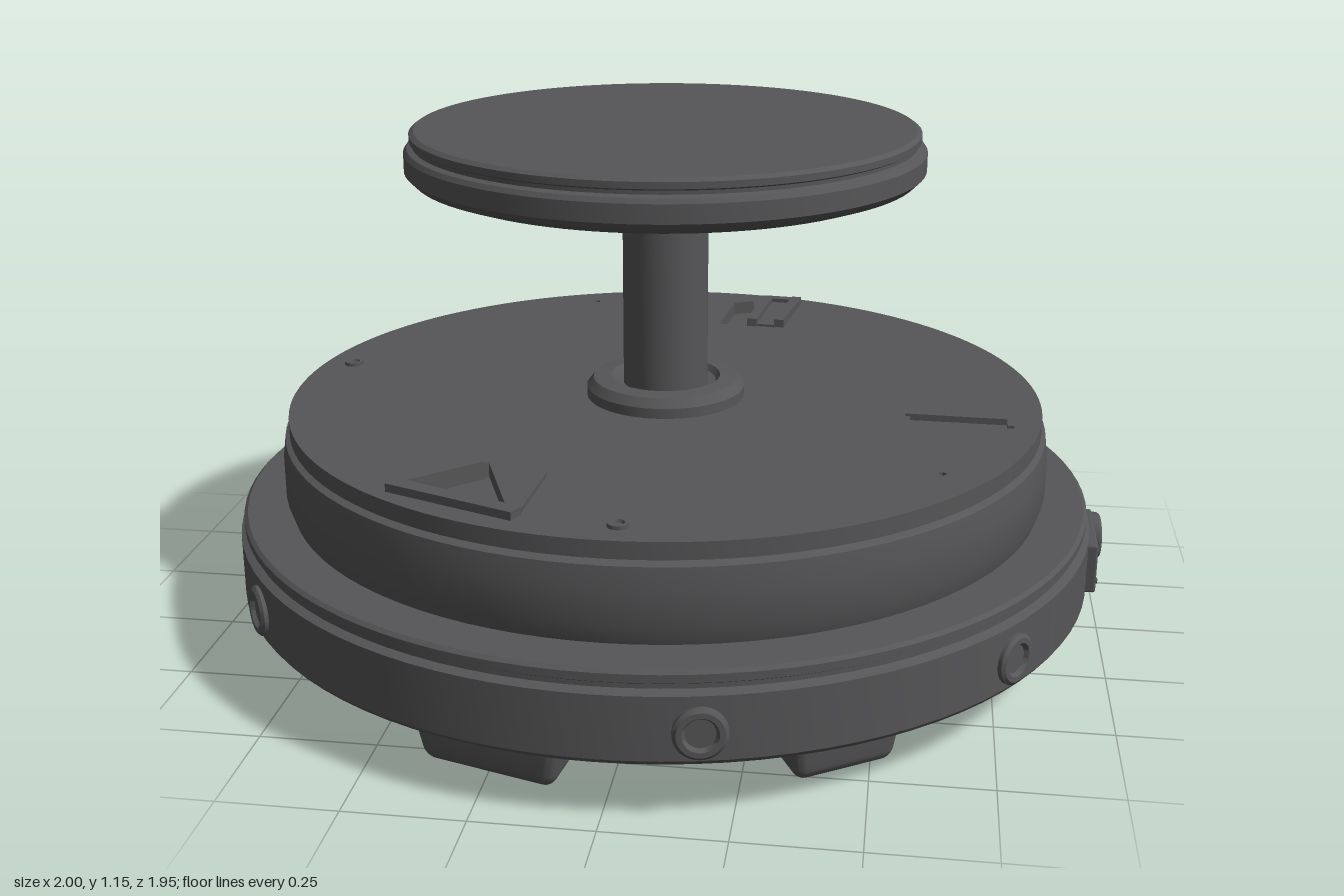
import * as THREE from 'three';
import { toCreasedNormals } from 'three/addons/utils/BufferGeometryUtils.js';
import { RoundedBoxGeometry } from 'three/addons/geometries/RoundedBoxGeometry.js';

const grey = new THREE.MeshStandardMaterial({ color: 0x565658 });
grey.name = 'darkGrey';

export function createModel() {
  const model = new THREE.Group();
  model.name = 'turntableStand';
  const body = new THREE.Group();
  body.name = 'body';
  body.position.set(-0.01, 0, 0.005);
  model.add(body);

  function add(name, geometry, parent = body) {
    const mesh = new THREE.Mesh(geometry, grey);
    mesh.name = name;
    parent.add(mesh);
    return mesh;
  }
  // Turned part from [radius, height] pairs, bottom to top
  function turned(name, profile, segments = 96, parent = body) {
    const points = profile.map(([r, y]) => new THREE.Vector2(r, y));
    return add(name, toCreasedNormals(new THREE.LatheGeometry(points, segments), 0.5), parent);
  }

  // Base disc with a grooved lip
  turned('base', [[0, 0.13], [0.965, 0.13], [0.972, 0.14], [0.972, 0.275], [0.955, 0.283],
    [0.955, 0.293], [0.963, 0.298], [0.963, 0.315], [0.955, 0.322], [0, 0.322]]);

  // Drum, bulging slightly, with a groove under its deck
  turned('drum', [[0, 0.32], [0.855, 0.32], [0.868, 0.36], [0.868, 0.44], [0.862, 0.485],
    [0.845, 0.492], [0.845, 0.5], [0, 0.5]]);

  // Deck plate with cut-outs
  const deck = new THREE.Shape().absarc(0, 0, 0.852, 0, Math.PI * 2, false);
  const cut = (points) => deck.holes.push(new THREE.Path(points.map(([x, z]) => new THREE.Vector2(x, -z))));
  cut([[-0.30, 0.49], [-0.46, 0.64], [-0.21, 0.72]]);
  cut([[0.08, -0.76], [0.13, -0.78], [0.15, -0.56], [0.06, -0.56]]);
  cut([[0.56, 0.085], [0.77, 0.09], [0.77, 0.115], [0.56, 0.11]]);
  for (const [x, z, r] of [[-0.29, -0.72, 0.008], [0.63, 0.425, 0.008]]) {
    deck.holes.push(new THREE.Path().absarc(x, -z, r, 0, Math.PI * 2, true));
  }
  const deckGeometry = new THREE.ExtrudeGeometry(deck, { depth: 0.037, bevelEnabled: false, curveSegments: 64 });
  deckGeometry.rotateX(-Math.PI / 2);
  add('deck', toCreasedNormals(deckGeometry, 0.5)).position.y = 0.495;

  // Straight raised bars on the deck, between two plan points
  function bar(name, x1, z1, x2, z2, width, top) {
    const length = Math.hypot(x2 - x1, z2 - z1);
    const mesh = add(name, new THREE.BoxGeometry(length, top - 0.5, width));
    mesh.position.set((x1 + x2) / 2, (top + 0.5) / 2, (z1 + z2) / 2);
    mesh.rotation.y = -Math.atan2(z2 - z1, x2 - x1);
  }
  bar('triangleFrontBar', -0.46, 0.66, -0.18, 0.77, 0.035, 0.55);
  bar('triangleSideBar', -0.18, 0.55, -0.19, 0.74, 0.03, 0.542);
  bar('triangleEdge', -0.31, 0.5, -0.46, 0.64, 0.015, 0.54);
  bar('innerRail', 0.17, -0.77, 0.145, -0.55, 0.025, 0.552);
  bar('outerRail', 0.245, -0.77, 0.215, -0.55, 0.025, 0.552);
  bar('railFloor', 0.207, -0.76, 0.18, -0.55, 0.05, 0.538);
  bar('railEnd', 0.16, -0.775, 0.25, -0.765, 0.025, 0.548);
  bar('slotEdge', 0.55, 0.08, 0.78, 0.088, 0.01, 0.538);
  bar('slotEnd', 0.78, 0.085, 0.778, 0.135, 0.015, 0.538);

  // Small locating pins
  for (const [x, z] of [[-0.775, -0.105], [0.02, 0.78]]) {
    turned('pin', [[0.022, 0.53], [0.022, 0.54], [0.014, 0.54], [0.012, 0.533], [0, 0.533]], 20)
      .position.set(x, 0, z);
  }

  // Pedestal and table
  turned('postFlange', [[0.18, 0.525], [0.18, 0.555], [0.165, 0.575], [0.125, 0.578], [0.115, 0.565], [0.09, 0.56]], 64);
  turned('post', [[0.096, 0.53], [0.096, 0.99]], 48);
  turned('collar', [[0, 0.97], [0.155, 0.97], [0.168, 0.98], [0.18, 1.01], [0.2, 1.02], [0.2, 1.045]], 64);
  turned('tableTop', [[0, 1.03], [0.46, 1.03], [0.515, 1.036], [0.555, 1.05], [0.573, 1.068], [0.573, 1.108],
    [0.566, 1.118], [0.553, 1.122], [0.553, 1.13], [0.56, 1.134], [0.56, 1.148], [0.55, 1.155], [0, 1.155]]);

  // Tapered feet: x, z, tangential width
  const feet = [[0.71, 0.06, 0.25], [0.41, 0.64, 0.25], [-0.22, 0.74, 0.33],
    [-0.71, -0.06, 0.25], [-0.37, -0.65, 0.25], [0.22, -0.74, 0.33]];
  for (const [x, z, width] of feet) {
    const geometry = new RoundedBoxGeometry(width, 0.18, 0.22, 4, 0.03);
    const p = geometry.attributes.position;
    for (let i = 0; i < p.count; i++) {
      const drop = Math.max(0, 0.06 - p.getY(i)) / 0.15;
      const narrow = 1 - 0.1 * p.getZ(i) / -0.11;
      p.setX(i, p.getX(i) * (1 - 0.18 * drop) * narrow);
      p.setZ(i, p.getZ(i) * (1 - 0.14 * drop));
    }
    geometry.computeVertexNormals();
    const foot = add('foot', toCreasedNormals(geometry, 0.7));
    foot.position.set(x + 0.005, 0.09, z);
    foot.rotation.y = Math.atan2(x, z);
  }

  // Round sockets on the rim: x, z, how far out they reach
  const sockets = [[0.78, 0.565, 0.985], [0.78, -0.565, 0.985], [-0.78, 0.565, 0.985], [-0.78, -0.565, 0.985],
    [0.2, 0.95, 0.985], [-0.2, -0.95, 0.99], [-0.97, 0.06, 0.99], [0.97, -0.08, 1.01]];
  for (const [x, z, reach] of sockets) {
    const holder = new THREE.Group();
    holder.name = 'rimSocket';
    holder.position.y = 0.2;
    holder.rotation.y = Math.atan2(x, z);
    body.add(holder);
    const solid = reach > 1;
    const face = solid ? [[0.05, reach], [0, reach]]
      : [[0.047, reach], [0.036, reach], [0.03, reach - 0.009], [0, reach - 0.009]];
    turned('socket', [[0.054, 0.93], [0.054, reach - 0.006], ...face], 32, holder).rotation.x = Math.PI / 2;
  }

  // Side housing behind the right-hand knob
  add('sideHousing', new RoundedBoxGeometry(0.08, 0.115, 0.22, 2, 0.006)).position.set(0.948, 0.2, 0.005);
  for (const y of [0.165, 0.235]) {
    const screw = add('housingScrew', new THREE.CylinderGeometry(0.007, 0.007, 0.008, 12));
    screw.rotation.z = Math.PI / 2;
    screw.position.set(0.988, y, 0.095);
  }
  return model;
}
